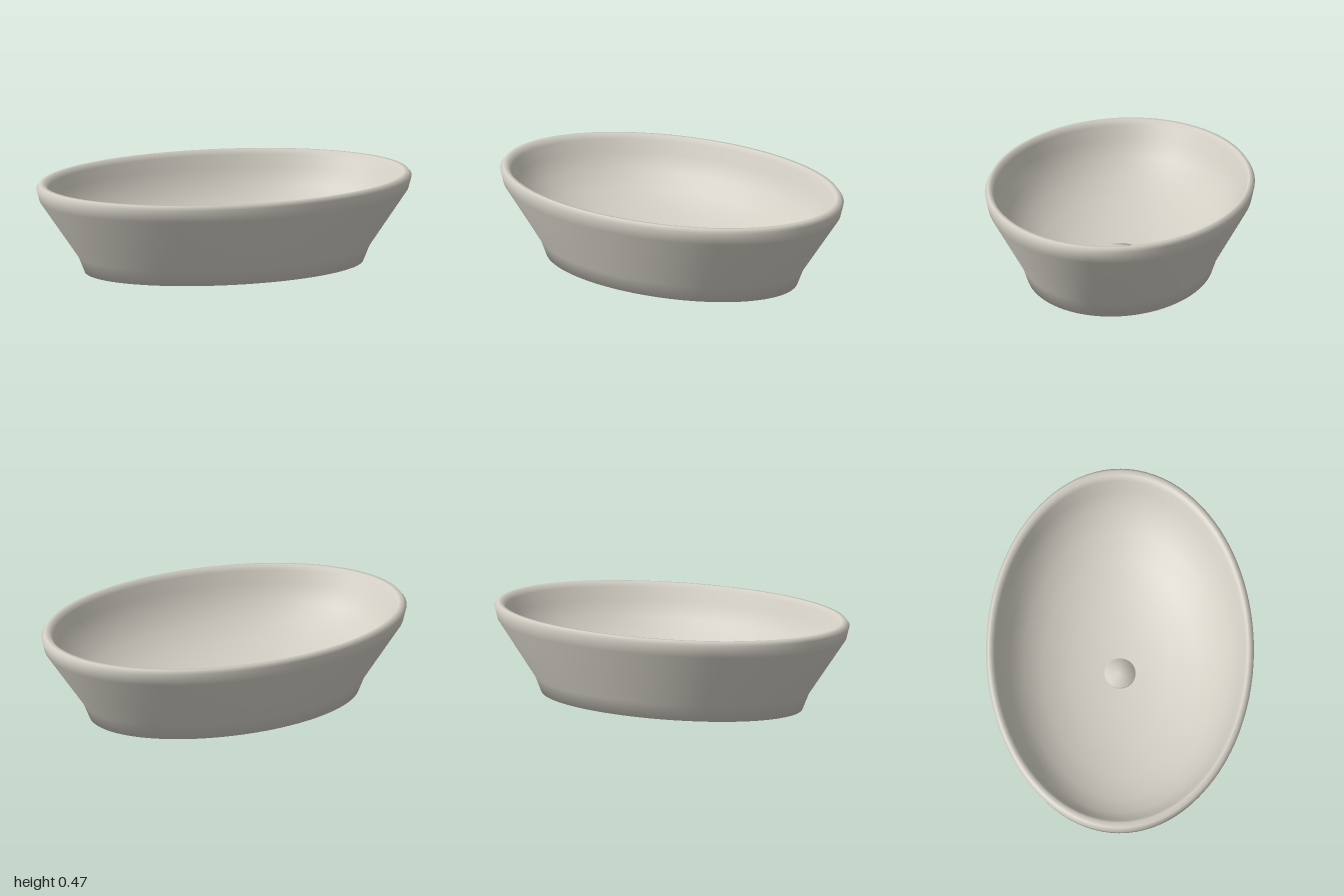
import * as THREE from 'three';

// Smooth normal of each profile point: mean of the unit normals of its neighbouring edges
function profileNormals(points) {
  const edges = points.slice(1).map((p, i) => {
    const d = p.clone().sub(points[i]).normalize();
    return new THREE.Vector2(d.y, -d.x);
  });
  return points.map((p, i) => {
    const before = edges[Math.max(i - 1, 0)];
    const after = edges[Math.min(i, edges.length - 1)];
    return before.clone().add(after).normalize();
  });
}

// Oval lathe of [radius, height] points; depthAt gives the z proportion at a height
function ovalLathe(profile, segments, depthAt) {
  const points = profile.map(([r, y]) => new THREE.Vector2(r, y));
  const normals = profileNormals(points);
  const geometry = new THREE.LatheGeometry(points, segments);
  const pos = geometry.attributes.position;
  const nor = geometry.attributes.normal;
  const n = new THREE.Vector3();
  for (let i = 0; i < pos.count; i++) {
    const ring = normals[i % points.length];
    const angle = (Math.floor(i / points.length) / segments) * Math.PI * 2;
    const k = depthAt(pos.getY(i));
    pos.setZ(i, pos.getZ(i) * k);
    n.set(ring.x * Math.sin(angle), ring.y, (ring.x * Math.cos(angle)) / k).normalize();
    nor.setXYZ(i, n.x, n.y, n.z);
  }
  return geometry;
}

export function createModel() {
  const group = new THREE.Group();
  group.name = 'washbasin';

  const ceramic = new THREE.MeshStandardMaterial({ color: 0xd2cec4 });
  ceramic.name = 'warm white ceramic';

  // Basin: underside, foot, flared wall, rounded rim, then the hollow
  const profile = [
    [0, 0], [0.745, 0], [0.78, 0.085], [0.983, 0.38], [1, 0.445], [0.983, 0.466],
    [0.957, 0.466], [0.936, 0.44], [0.905, 0.38], [0.84, 0.299], [0.74, 0.226],
    [0.6, 0.162], [0.4, 0.113], [0.2, 0.09], [0, 0.084],
  ];
  const basinDepth = (y) => THREE.MathUtils.lerp(0.643, 0.693, Math.min(y / 0.4, 1));
  const basin = new THREE.Mesh(ovalLathe(profile, 96, basinDepth), ceramic);
  basin.name = 'basin';
  group.add(basin);

  // Drain cover: low round cap with softened edge
  const cap = [[0.08, 0.075], [0.08, 0.105], [0, 0.11]];
  const drain = new THREE.Mesh(ovalLathe(cap, 40, () => 1), ceramic);
  drain.name = 'drainCover';
  group.add(drain);

  return group;
}
